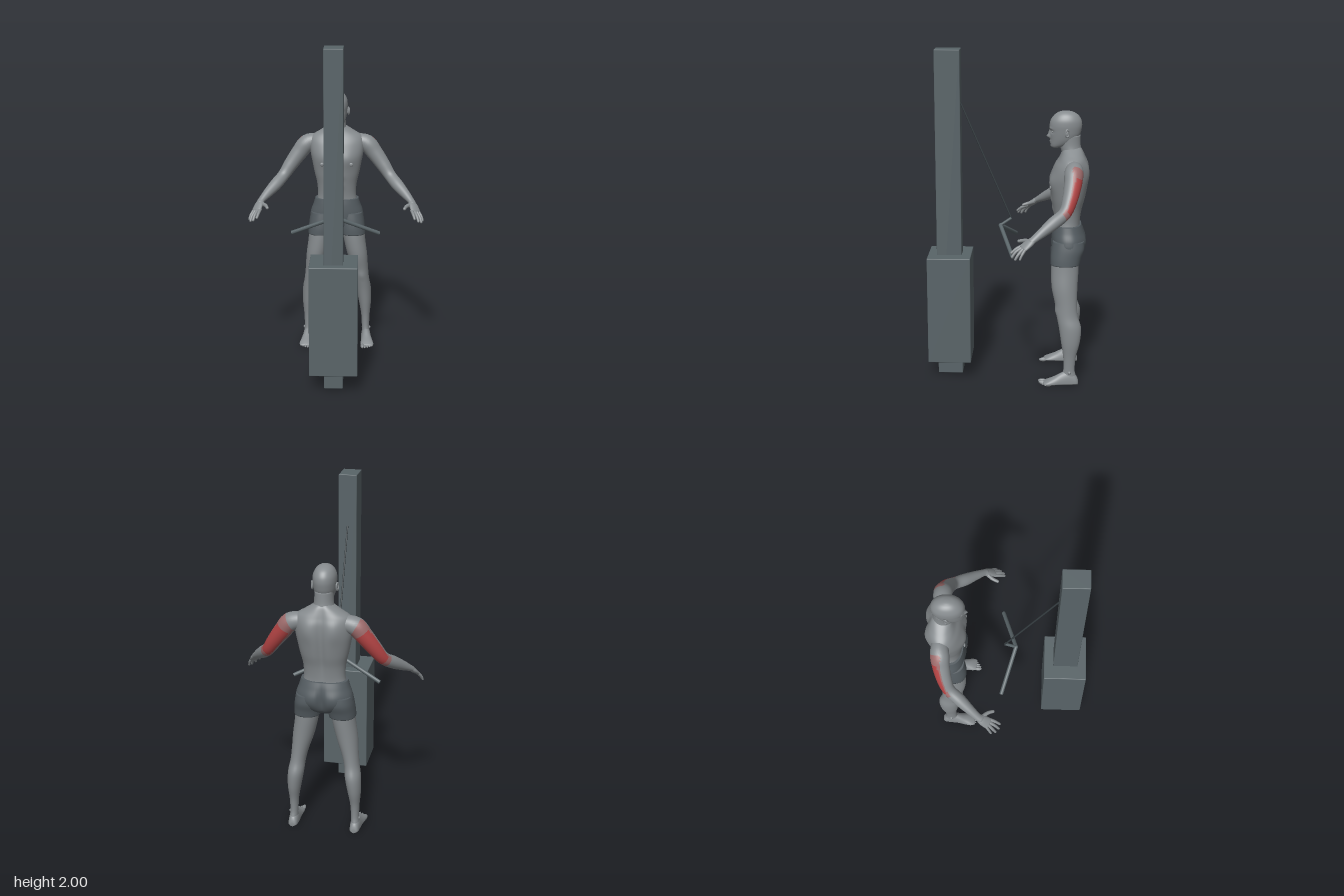
import * as THREE from 'three';
import { RoundedBoxGeometry } from 'three/addons/geometries/RoundedBoxGeometry.js';

const V = (x, y, z) => new THREE.Vector3(x, y, z);
const mat = (name, color) => {
  const m = new THREE.MeshStandardMaterial({ color });
  m.name = name;
  return m;
};

// smooth interpolation of rows of numbers
function spline(rows, n) {
  const out = [], last = rows.length - 1;
  for (let i = 0; i <= n; i++) {
    const f = (i / n) * last, k = Math.min(Math.floor(f), last - 1), t = f - k;
    const [a, b, c, d] = [-1, 0, 1, 2].map(o => rows[Math.min(last, Math.max(0, k + o))]);
    out.push(b.map((_, j) => 0.5 * (2 * b[j] + (c[j] - a[j]) * t
      + (2 * a[j] - 5 * b[j] + 4 * c[j] - d[j]) * t * t
      + (3 * b[j] - a[j] - 3 * c[j] + d[j]) * t * t * t)));
  }
  return out;
}

// closed skin over rings of points; paint(i, quadDirection) picks a material index
function loft(rings, paint) {
  const m = rings[0].length, n = rings.length, pos = [], faces = [[], [], []];
  const mids = rings.map(r => r.reduce((s, p) => s.add(p), V(0, 0, 0)).divideScalar(m));
  rings.flat().forEach(p => pos.push(p.x, p.y, p.z));
  pos.push(...mids[0].toArray(), ...mids[n - 1].toArray());
  for (let i = 0; i < n - 1; i++) for (let j = 0; j < m; j++) {
    const k = (j + 1) % m, a = i * m + j, b = i * m + k, c = a + m, d = b + m;
    const dir = rings[i][j].clone().add(rings[i][k]).multiplyScalar(0.5).sub(mids[i]).normalize();
    faces[paint ? paint(i / (n - 1), dir) : 0].push(a, b, c, b, d, c);
  }
  for (let j = 0; j < m; j++) {
    const k = (j + 1) % m;
    faces[0].push(n * m, k, j, n * m + 1, (n - 1) * m + j, (n - 1) * m + k);
  }
  const g = new THREE.BufferGeometry();
  g.setAttribute('position', new THREE.Float32BufferAttribute(pos, 3));
  g.setIndex(faces.flat());
  let start = 0;
  if (paint) faces.forEach((f, i) => { g.addGroup(start, f.length, i); start += f.length; });
  g.computeVertexNormals();
  return g;
}

// upright form: rows of [y, centre x, half width, front z, back z]
// bumps: [x, y, 1 front or -1 back, height, spread x, spread y], mirrored in x
function body(rows, n, m, bumps = [], power = 2.3) {
  const sp = v => Math.sign(v) * Math.abs(v) ** (2 / power);
  return loft(spline(rows, n).map(([y, xc, w, zf, zb]) => Array.from({ length: m }, (_, j) => {
    const t = (j / m) * Math.PI * 2, s = Math.sin(t);
    const x = xc + w * sp(Math.cos(t));
    let z = (zf + zb) / 2 - ((zf - zb) / 2) * sp(s);
    for (const [bx, by, side, h, sx, sy] of bumps) if (s * side < 0)
      z += side * h * Math.abs(s) * Math.exp(-(((Math.abs(x) - bx) / sx) ** 2) - ((y - by) / sy) ** 2);
    return V(x, y, z);
  })));
}

// limb with rounded ends: rows of [x, y, z, radius along ref, radius across]
function limb(rows, n, m, ref, paint) {
  const s = spline(rows, n), rings = [];
  const ring = (c, d, ru, rv) => {
    const u = ref.clone().addScaledVector(d, -ref.dot(d)).normalize(), v = d.clone().cross(u);
    rings.push(Array.from({ length: m }, (_, j) => {
      const t = (j / m) * Math.PI * 2;
      return c.clone().addScaledVector(u, ru * Math.cos(t)).addScaledVector(v, rv * Math.sin(t));
    }));
  };
  s.forEach(([x, y, z, ru, rv], i) => {
    const p = s[Math.max(0, i - 1)], q = s[Math.min(n, i + 1)];
    const d = V(q[0] - p[0], q[1] - p[1], q[2] - p[2]).normalize(), c = V(x, y, z), r = Math.min(ru, rv);
    const cap = (a, sign) => ring(c.clone().addScaledVector(d, sign * r * Math.sin(a)), d, ru * Math.cos(a), rv * Math.cos(a));
    if (i === 0) [1.45, 1.1, 0.7, 0.35].forEach(a => cap(a, -1));
    ring(c, d, ru, rv);
    if (i === n) [0.35, 0.7, 1.1, 1.45].forEach(a => cap(a, 1));
  });
  return loft(rings, paint);
}

function mirrored(geo) {
  const g = geo.clone().scale(-1, 1, 1), ix = g.index.array;
  for (let i = 0; i < ix.length; i += 3) [ix[i], ix[i + 1]] = [ix[i + 1], ix[i]];
  g.computeVertexNormals();
  return g;
}

export function createModel() {
  const root = new THREE.Group();
  const skin = mat('skin grey', 0x868b8e), cloth = mat('shorts grey', 0x545c61), frame = mat('frame grey', 0x596468);
  const red = mat('muscle red', 0xb04343), pale = mat('muscle pale red', 0x9c6a6a), dark = mat('cable dark', 0x343c40);
  const add = (name, geo, m, parent = root) => {
    const mesh = new THREE.Mesh(geo, m);
    mesh.name = name;
    parent.add(mesh);
    return mesh;
  };
  const pair = (name, geo, m) => {
    add(name + 'Left', geo, m);
    add(name + 'Right', mirrored(geo), m);
  };
  const ball = (x, y, z, rx, ry, rz) => new THREE.SphereGeometry(1, 20, 14).scale(rx, ry, rz).translate(x, y, z);
  const rod = (a, b, r) => new THREE.CylinderGeometry(r, r, a.distanceTo(b), 16)
    .applyQuaternion(new THREE.Quaternion().setFromUnitVectors(V(0, 1, 0), b.clone().sub(a).normalize()))
    .translate((a.x + b.x) / 2, (a.y + b.y) / 2, (a.z + b.z) / 2);

  // cable machine
  add('column', new RoundedBoxGeometry(0.11, 1.99, 0.15, 2, 0.004).translate(0, 1.005, 0.352), frame);
  add('weightHousing', new RoundedBoxGeometry(0.28, 0.66, 0.26, 2, 0.005).translate(0, 0.44, 0.35), frame);
  add('cable', rod(V(0, 1.69, 0.28), V(0, 0.99, -0.02), 0.005), dark);
  const hub = V(0, 0.945, 0.045);
  add('handleStem', rod(V(0, 0.99, -0.02), hub, 0.009), frame);
  add('handleHub', ball(0, 0.945, 0.045, 0.012, 0.012, 0.012), frame);
  pair('handleBar', rod(hub, V(0.265, 0.825, -0.038), 0.012), frame);

  // torso with chest, belly and back muscles
  add('torso', body([
    [0.93, 0, 0.13, -0.28, -0.43], [0.99, 0, 0.12, -0.278, -0.432], [1.06, 0, 0.124, -0.268, -0.442],
    [1.13, 0, 0.14, -0.256, -0.46], [1.2, 0, 0.154, -0.25, -0.472], [1.26, 0, 0.165, -0.254, -0.476],
    [1.32, 0, 0.168, -0.275, -0.472], [1.36, 0, 0.155, -0.3, -0.46], [1.39, 0, 0.11, -0.313, -0.45],
    [1.415, 0, 0.07, -0.32, -0.44], [1.43, 0, 0.045, -0.325, -0.43]], 60, 72, [
    [0.075, 1.225, 1, 0.012, 0.05, 0.045], [0, 1.22, 1, -0.008, 0.014, 0.06],
    [0.028, 1.12, 1, 0.005, 0.018, 0.02], [0.028, 1.06, 1, 0.005, 0.018, 0.02],
    [0, 1.02, 1, -0.007, 0.008, 0.008], [0.08, 1.29, -1, 0.014, 0.045, 0.07],
    [0, 1.18, -1, -0.02, 0.022, 0.2]], 2.2), skin);
  pair('nipple', ball(0.09, 1.2, -0.253, 0.012, 0.012, 0.006), skin);

  // head and neck
  add('neck', body([[1.36, 0, 0.085, -0.32, -0.445], [1.4, 0, 0.064, -0.315, -0.436], [1.44, 0, 0.055, -0.305, -0.428],
    [1.5, 0, 0.054, -0.295, -0.425]], 16, 40, [], 2), skin);
  add('head', body([
    [1.422, 0, 0.012, -0.268, -0.29], [1.43, 0, 0.03, -0.256, -0.32], [1.445, 0, 0.043, -0.251, -0.365],
    [1.47, 0, 0.054, -0.25, -0.402], [1.5, 0, 0.061, -0.248, -0.422], [1.53, 0, 0.065, -0.246, -0.431],
    [1.56, 0, 0.067, -0.244, -0.435], [1.59, 0, 0.064, -0.251, -0.43], [1.617, 0, 0.052, -0.27, -0.413],
    [1.634, 0, 0.035, -0.294, -0.388], [1.642, 0, 0.016, -0.32, -0.36], [1.644, 0, 0.002, -0.339, -0.341]], 66, 72, [
    [0, 1.492, 1, 0.019, 0.011, 0.011], [0, 1.512, 1, 0.01, 0.008, 0.018],
    [0.027, 1.524, 1, -0.009, 0.014, 0.01], [0.024, 1.542, 1, 0.005, 0.02, 0.007],
    [0, 1.466, 1, 0.006, 0.016, 0.005], [0, 1.456, 1, 0.005, 0.014, 0.004], [0, 1.435, 1, 0.004, 0.014, 0.008]], 2.1), skin);
  pair('eye', ball(0.027, 1.524, -0.264, 0.011, 0.007, 0.009), skin);
  const ear = new THREE.TorusGeometry(0.015, 0.005, 8, 20).scale(0.8, 1.35, 1).rotateY(Math.PI / 2 + 0.35).translate(0.072, 1.52, -0.348);
  pair('earRim', ear, skin);
  pair('earLobe', ball(0.068, 1.517, -0.345, 0.006, 0.018, 0.012), skin);

  // shorts
  add('shortsHips', body([
    [0.968, 0, 0.136, -0.272, -0.438], [0.93, 0, 0.147, -0.266, -0.452], [0.88, 0, 0.164, -0.263, -0.464],
    [0.83, 0, 0.165, -0.265, -0.46], [0.79, 0, 0.12, -0.275, -0.44], [0.765, 0, 0.045, -0.3, -0.41]].reverse(), 36, 64,
    [[0, 0.85, -1, -0.025, 0.014, 0.07], [0.07, 0.86, -1, 0.008, 0.045, 0.045], [0, 0.83, 1, 0.006, 0.03, 0.04]]), cloth);
  pair('shortsLeg', body([[0.74, 0.103, 0.078, -0.257, -0.432], [0.78, 0.099, 0.079, -0.257, -0.442],
    [0.83, 0.093, 0.079, -0.262, -0.458], [0.88, 0.09, 0.072, -0.27, -0.455]], 16, 40), cloth);

  // legs
  pair('leg', body([
    [0.02, 0.19, 0.026, -0.33, -0.424], [0.06, 0.188, 0.025, -0.333, -0.418], [0.1, 0.186, 0.024, -0.342, -0.41],
    [0.18, 0.185, 0.028, -0.34, -0.416], [0.27, 0.181, 0.04, -0.326, -0.438], [0.36, 0.172, 0.047, -0.312, -0.445],
    [0.43, 0.162, 0.045, -0.298, -0.424], [0.5, 0.15, 0.05, -0.288, -0.418], [0.6, 0.13, 0.063, -0.266, -0.42],
    [0.7, 0.112, 0.068, -0.262, -0.425], [0.78, 0.103, 0.07, -0.265, -0.428]], 50, 36,
    [[0.16, 0.465, 1, 0.006, 0.025, 0.025]], 2), skin);
  pair('ankleBone', ball(0.19, 0.085, -0.378, 0.029, 0.014, 0.014), skin);

  // feet: flat-soled sections from heel to ball of foot, then toes
  const soles = spline([[-0.432, 0.188, 0.014, 0.03], [-0.42, 0.188, 0.026, 0.06], [-0.38, 0.188, 0.031, 0.095],
    [-0.335, 0.19, 0.033, 0.082], [-0.29, 0.194, 0.038, 0.057], [-0.25, 0.196, 0.042, 0.038], [-0.222, 0.195, 0.036, 0.022]], 24);
  pair('foot', loft(soles.map(([z, x, w, h]) => Array.from({ length: 28 }, (_, j) => {
    const t = (j / 28) * Math.PI * 2, s = Math.sin(t);
    return V(x + w * Math.cos(t), s > 0 ? 0.018 + (h - 0.018) * s : 0.018 + 0.012 * s, z);
  }))), skin);
  for (let i = 0; i < 5; i++) {
    const r = i ? 0.0085 - i * 0.0005 : 0.012;
    pair('toe' + (i + 1), ball(0.167 + i * 0.0155, r + 0.005, -0.215 - i * i * 0.0022, r, r, 0.026 - i * 0.001), skin);
  }

  // arms, with the back of the upper arm highlighted
  const triceps = (t, dir) => {
    const back = dir.dot(V(0.2, 0.12, -0.97));
    if (t < 0.17 || t > 0.52 || back < 0.25) return 0;
    return back < 0.5 || t < 0.24 || t > 0.49 ? 2 : 1;
  };
  pair('arm', limb([[0.11, 1.325, -0.39, 0.045, 0.045], [0.185, 1.308, -0.388, 0.055, 0.055], [0.235, 1.25, -0.382, 0.051, 0.051],
    [0.29, 1.175, -0.365, 0.044, 0.044], [0.335, 1.11, -0.338, 0.037, 0.037], [0.38, 1.065, -0.277, 0.037, 0.037],
    [0.425, 1.025, -0.218, 0.029, 0.029], [0.46, 0.993, -0.17, 0.023, 0.019], [0.47, 0.98, -0.15, 0.024, 0.017]],
    48, 32, V(0.85, -0.3, -0.4), triceps), [skin, red, pale]);

  // hands
  const across = V(0.85, -0.3, -0.4);
  pair('palm', limb([[0.462, 0.99, -0.165, 0.022, 0.016], [0.474, 0.97, -0.138, 0.031, 0.016], [0.485, 0.947, -0.107, 0.034, 0.012]],
    10, 24, across), skin);
  const fingers = {
    thumb: [[0.458, 0.978, -0.145], [0.43, 0.974, -0.112], [0.417, 0.967, -0.08]],
    indexFinger: [[0.462, 0.952, -0.1], [0.47, 0.936, -0.066], [0.478, 0.915, -0.04]],
    middleFinger: [[0.479, 0.945, -0.098], [0.492, 0.925, -0.066], [0.501, 0.898, -0.045]],
    ringFinger: [[0.494, 0.94, -0.104], [0.511, 0.914, -0.08], [0.519, 0.889, -0.064]],
    littleFinger: [[0.507, 0.937, -0.115], [0.522, 0.914, -0.1], [0.529, 0.892, -0.09]],
  };
  for (const [name, p] of Object.entries(fingers)) {
    const k = name === 'thumb' ? 1.25 : name === 'littleFinger' ? 0.85 : 1;
    pair(name, limb(p.map((q, i) => [...q, (0.0105 - i * 0.0015) * k, (0.0105 - i * 0.0015) * k]), 8, 14, across), skin);
  }
  return root;
}
